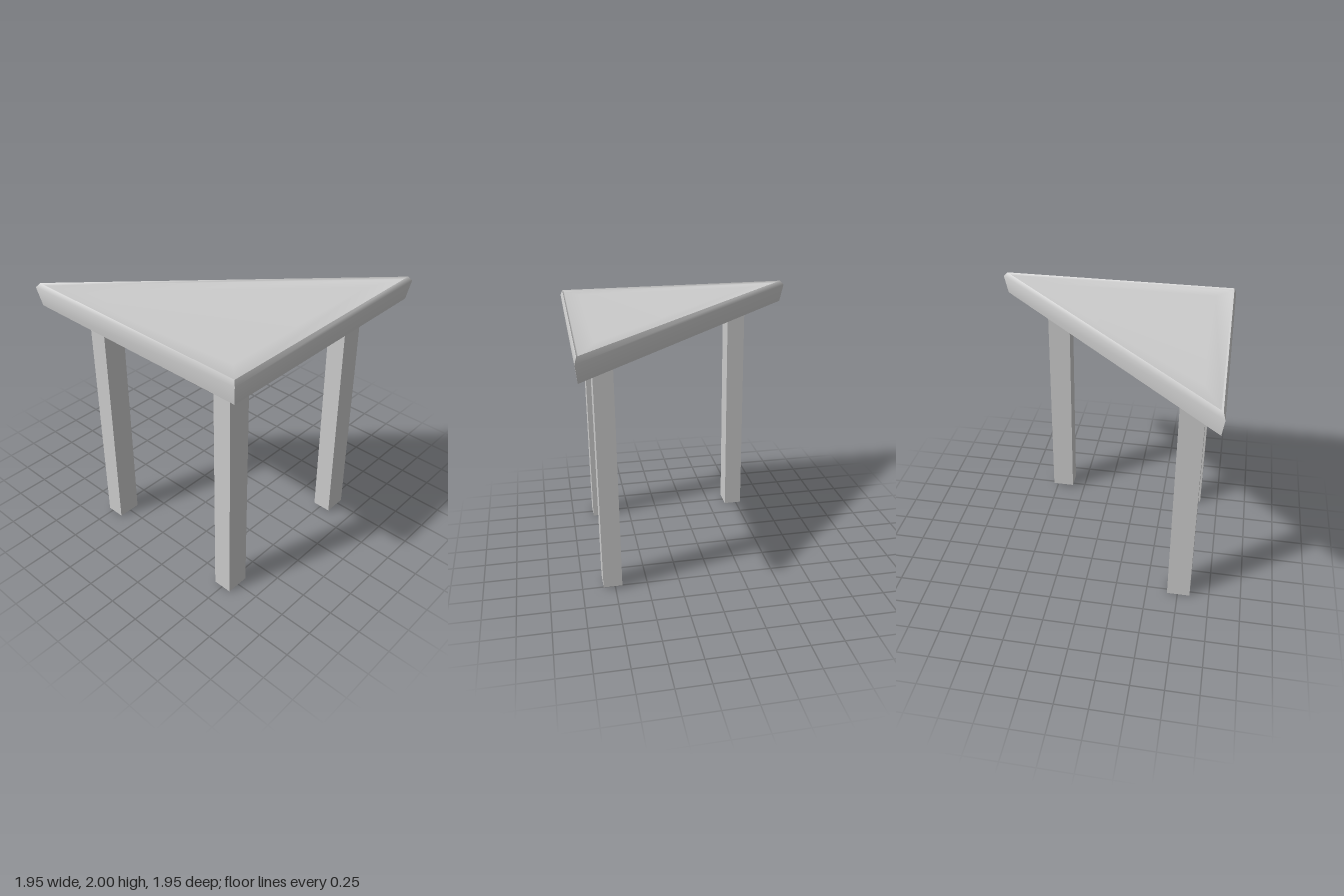
import * as THREE from 'three';
import { toCreasedNormals } from 'three/addons/utils/BufferGeometryUtils.js';

const material = new THREE.MeshStandardMaterial({ color: 0xcccccc });

// Right-angled triangle moved inwards by d from all three edges, at height y
function triangleRing(d, y) {
  const a = 0.977;
  const tip = -a + d * (1 + Math.SQRT2);
  const edge = a - d;
  return [tip, y, edge, edge, y, edge, edge, y, tip];
}

// Triangular slab skinned through rings of [inset, height], bottom to top
function slabGeometry(profile) {
  const positions = profile.flatMap(([d, y]) => triangleRing(d, y));
  const index = [0, 2, 1];
  for (let r = 0; r < profile.length - 1; r++) {
    for (let i = 0; i < 3; i++) {
      const a = r * 3 + i;
      const b = r * 3 + (i + 1) % 3;
      index.push(a, b, b + 3, a, b + 3, a + 3);
    }
  }
  const last = (profile.length - 1) * 3;
  index.push(last, last + 1, last + 2);
  const geometry = new THREE.BufferGeometry();
  geometry.setAttribute('position', new THREE.Float32BufferAttribute(positions, 3));
  geometry.setIndex(index);
  return toCreasedNormals(geometry, Math.PI / 3);
}

export function createModel() {
  const group = new THREE.Group();
  group.name = 'cornerTable';

  // Table top: bevelled edge with a slight lip around the upper and lower faces
  const top = new THREE.Mesh(slabGeometry([
    [0.16, 1.828],
    [0.035, 1.827],
    [0.016, 1.82],
    [0, 1.96],
    [0.016, 2],
    [0.03, 1.986],
    [0.16, 1.984],
  ]), material);
  top.name = 'tableTop';
  group.add(top);

  // Legs: [name, x, z, foot height]
  const legs = [
    ['frontRightLeg', -0.47, 0.757, 0],
    ['frontLeftLeg', 0.75, 0.757, 0],
    ['backLeftLeg', 0.77, -0.445, 0.02],
  ];
  const height = 1.81;
  for (const [name, x, z, foot] of legs) {
    const leg = new THREE.Mesh(new THREE.BoxGeometry(0.145, height, 0.18), material);
    leg.position.set(x, foot + height / 2, z);
    leg.name = name;
    group.add(leg);
  }
  return group;
}
